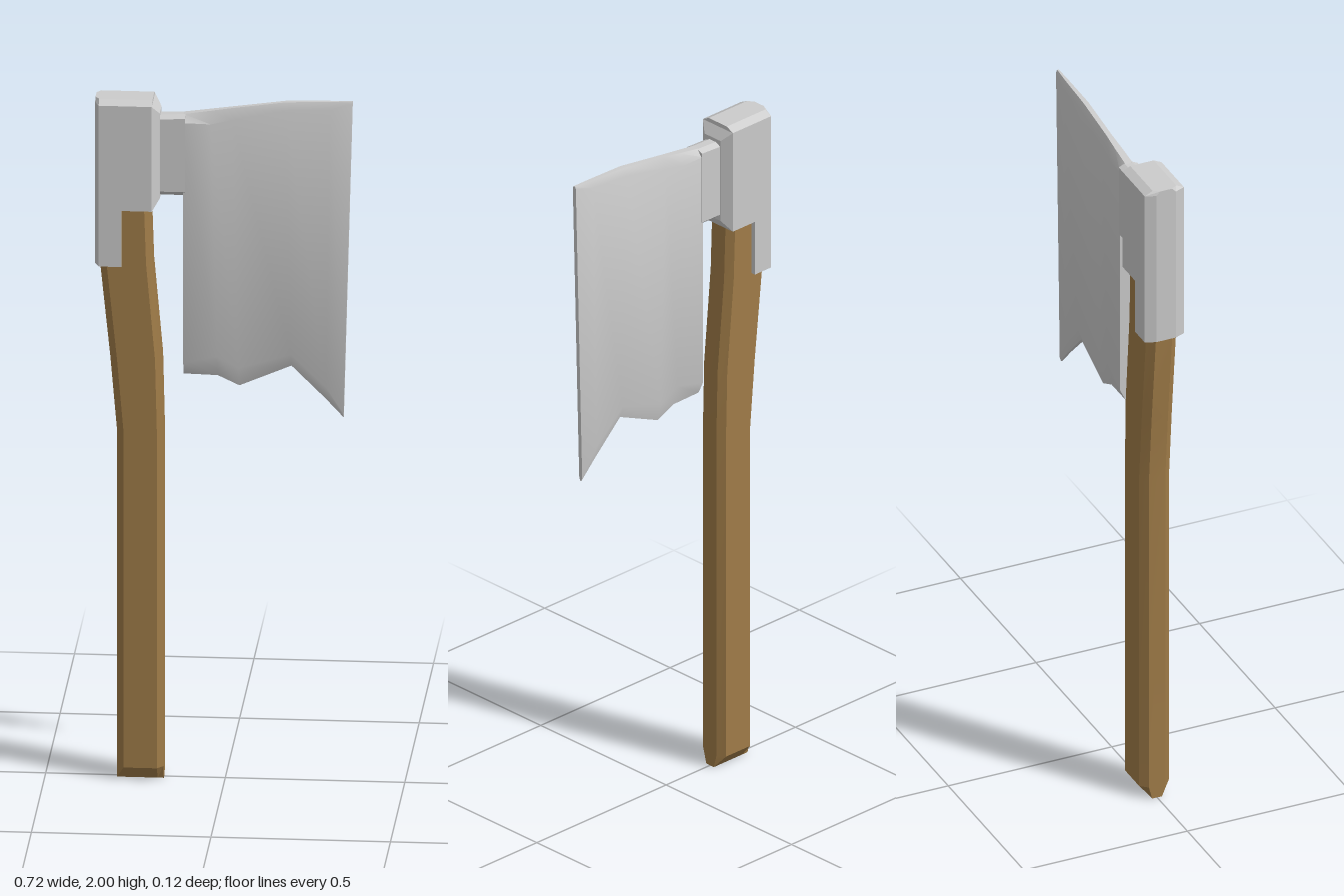
import * as THREE from 'three';
import { toCreasedNormals } from 'three/addons/utils/BufferGeometryUtils.js';

// Skin a closed, capped body over rings of [x, y, z] points
// (each ring runs counter-clockwise seen from the far end).
function loft(rings, crease = 0.3) {
  const pos = [];
  const tri = (a, b, c) => pos.push(...a, ...b, ...c);
  const centre = (ring) => [0, 1, 2].map((k) => ring.reduce((s, p) => s + p[k], 0) / ring.length);
  const n = rings[0].length;
  const last = rings[rings.length - 1];
  const c0 = centre(rings[0]);
  const c1 = centre(last);
  for (let j = 0; j < n; j++) {
    const k = (j + 1) % n;
    for (let i = 0; i < rings.length - 1; i++) {
      const a = rings[i][j], b = rings[i][k], c = rings[i + 1][k], d = rings[i + 1][j];
      tri(a, b, c);
      tri(a, c, d);
    }
    tri(c0, rings[0][k], rings[0][j]);
    tri(c1, last[j], last[k]);
  }
  const geo = new THREE.BufferGeometry();
  geo.setAttribute('position', new THREE.Float32BufferAttribute(pos, 3));
  return toCreasedNormals(geo, crease);
}

// Horizontal head section with chamfered rear corners
const headRing = (y, front, zScale = 1) =>
  [[front, 0.06], [front, -0.06], [-0.348, -0.06], [-0.36, -0.03], [-0.36, 0.03], [-0.348, 0.06]]
    .map(([x, z]) => [x, y, z * zScale]);

// Vertical rectangular section, for lofting along x
const rectRing = (x, y0, y1, z) => [[x, y0, -z], [x, y1, -z], [x, y1, z], [x, y0, z]];

// Eight-sided handle section between x0 and x1
const handleRing = ([y, x0, x1, zMax = 0.046]) =>
  [[x1, 0.025], [x1, -0.025], [x1 - 0.017, -0.046], [x0 + 0.02, -0.046],
    [x0, -0.025], [x0, 0.025], [x0 + 0.02, 0.046], [x1 - 0.017, 0.046]]
    .map(([x, z]) => [x, y, THREE.MathUtils.clamp(z, -zMax, zMax)]);

// Upright blade section, thinned along its top and bottom
function bladeRing([xTop, xBottom, yTop, yBottom, z, bevel]) {
  const e = z * 0.4;
  const at = (y, zz) => {
    const t = (y - yBottom) / (yTop - yBottom);
    return [xBottom + (xTop - xBottom) * t, y, zz];
  };
  const lo = yBottom + bevel * 1.2;
  const hi = yTop - bevel * 0.7;
  return [at(yBottom, -e), at(lo, -z), at(hi, -z), at(yTop, -e),
    at(yTop, e), at(hi, z), at(lo, z), at(yBottom, e)];
}

export function createModel() {
  const group = new THREE.Group();
  const steel = new THREE.MeshStandardMaterial({ color: 0xcccccc });
  const wood = new THREE.MeshStandardMaterial({ color: 0xa07c48 });
  const add = (name, geo, mat) => {
    const mesh = new THREE.Mesh(geo, mat);
    mesh.name = name;
    group.add(mesh);
  };

  // Bent handle with a wedge-cut foot: y, rear x, front x, z limit
  add('handle', loft([
    [0, -0.30, -0.17, 0.015],
    [0.038, -0.30, -0.17],
    [1.03, -0.30, -0.17],
    [1.24, -0.318, -0.175],
    [1.52, -0.347, -0.20],
    [1.70, -0.35, -0.206],
  ].map(handleRing)), wood);

  // Head block, its rear lug and the bevelled collar in front
  add('headBlock', loft([headRing(1.68, -0.2), headRing(1.988, -0.2), headRing(2, -0.2, 0.6)], 0.1), steel);
  add('headLug', loft([headRing(1.515, -0.285), headRing(1.69, -0.285)]), steel);
  add('headCollar', loft([rectRing(-0.2, 1.68, 1.988, 0.06), rectRing(-0.18, 1.71, 1.96, 0.032)]), steel);

  // Neck joining collar and blade
  add('bladeNeck', loft([
    [-0.185, -0.185, 1.95, 1.715, 0.03, 0.012],
    [-0.11, -0.11, 1.953, 1.715, 0.029, 0.012],
  ].map(bladeRing)), steel);

  // Cleaver blade with a ragged lower edge:
  // top x, bottom x, top y, bottom y, half thickness, bevel height
  add('blade', loft([
    [-0.115, -0.115, 1.953, 1.19, 0.028, 0.03],
    [-0.04, -0.02, 1.964, 1.187, 0.024, 0.05],
    [0.02, 0.04, 1.973, 1.158, 0.019, 0.045],
    [0.17, 0.185, 1.994, 1.22, 0.018, 0.03],
    [0.295, 0.28, 1.998, 1.125, 0.012, 0.03],
    [0.355, 0.33, 2, 1.07, 0.006, 0.01],
  ].map(bladeRing), 0.6), steel);

  return group;
}
